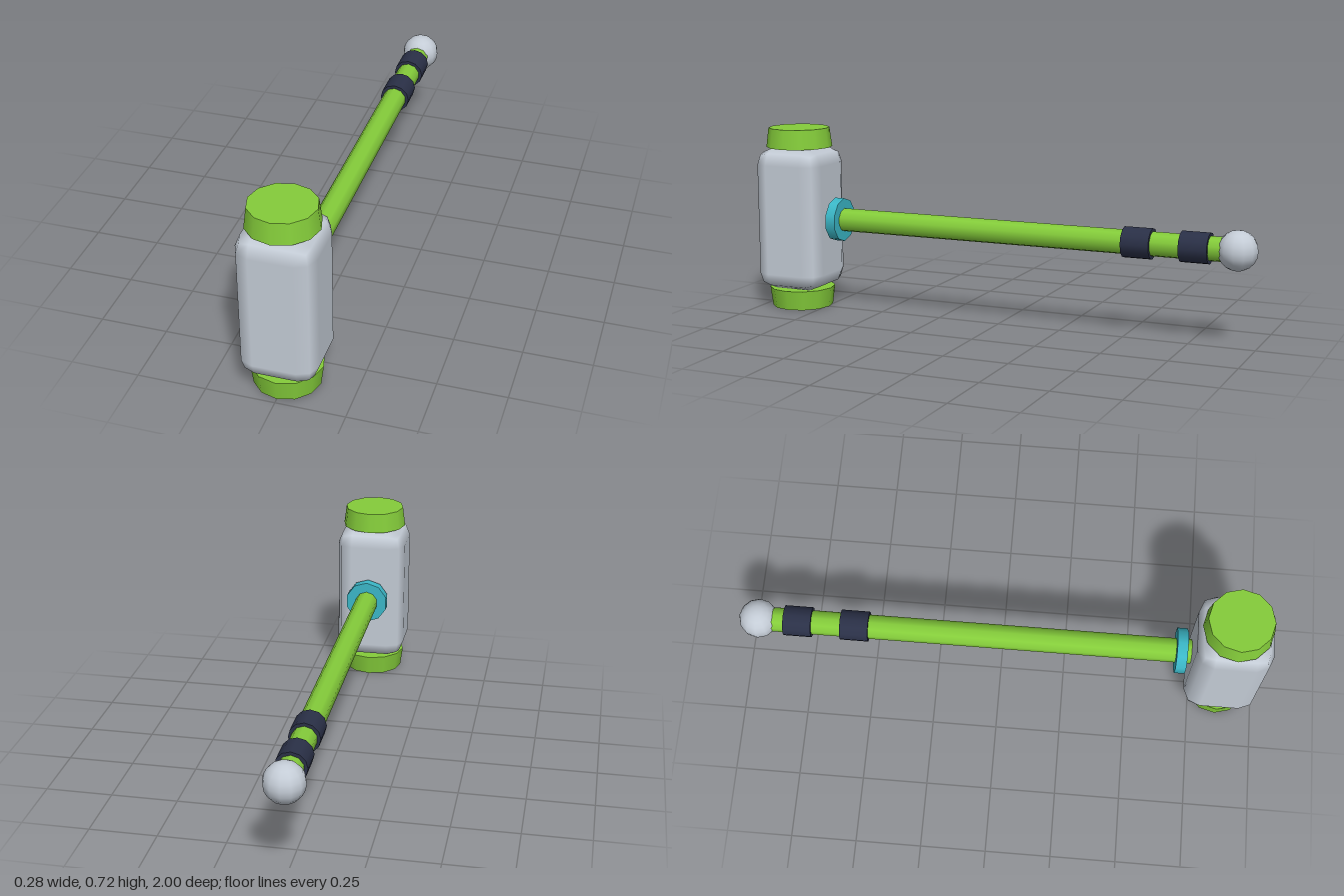
import * as THREE from 'three';
import { RoundedBoxGeometry } from 'three/addons/geometries/RoundedBoxGeometry.js';

const paint = (name, color) => {
  const m = new THREE.MeshStandardMaterial({ color });
  m.name = name;
  return m;
};

export function createModel() {
  const group = new THREE.Group();
  group.name = 'mallet';
  const green = paint('green', 0x84cc3a);
  const silver = paint('silver', 0xc4ccd6);
  const teal = paint('teal', 0x3bb8c8);
  const navy = paint('navy', 0x2a3047);
  const axisY = 0.36, headZ = 0.86;

  const add = (name, geometry, material, x, y, z) => {
    const mesh = new THREE.Mesh(geometry, material);
    mesh.name = name;
    mesh.position.set(x, y, z);
    group.add(mesh);
    return mesh;
  };

  // Cylinder lying along z between two depths
  const rod = (name, radius, z0, z1, sides, material) => {
    const geometry = new THREE.CylinderGeometry(radius, radius, z1 - z0, sides);
    geometry.rotateX(Math.PI / 2);
    return add(name, geometry, material, 0, axisY, (z0 + z1) / 2);
  };

  // Head with bevelled edges
  add('head', new RoundedBoxGeometry(0.282, 0.566, 0.28, 1, 0.065), silver, 0, axisY, headZ);

  // Striking caps, widest next to the head
  const capHeight = 0.077;
  add('topCap', new THREE.CylinderGeometry(0.12, 0.13, capHeight, 12), green, 0, 0.72 - capHeight / 2, headZ);
  add('bottomCap', new THREE.CylinderGeometry(0.13, 0.12, capHeight, 12), green, 0, capHeight / 2, headZ);

  // Handle, collar and grip bands
  rod('handle', 0.046, -0.89, 0.75, 10, green);
  rod('collar', 0.086, 0.662, 0.702, 10, teal);
  rod('frontGripBand', 0.058, -0.61, -0.503, 12, navy);
  rod('rearGripBand', 0.058, -0.826, -0.72, 12, navy);

  // Pommel ball
  add('pommel', new THREE.SphereGeometry(0.074, 12, 10), silver, 0, axisY, -0.926);

  return group;
}
